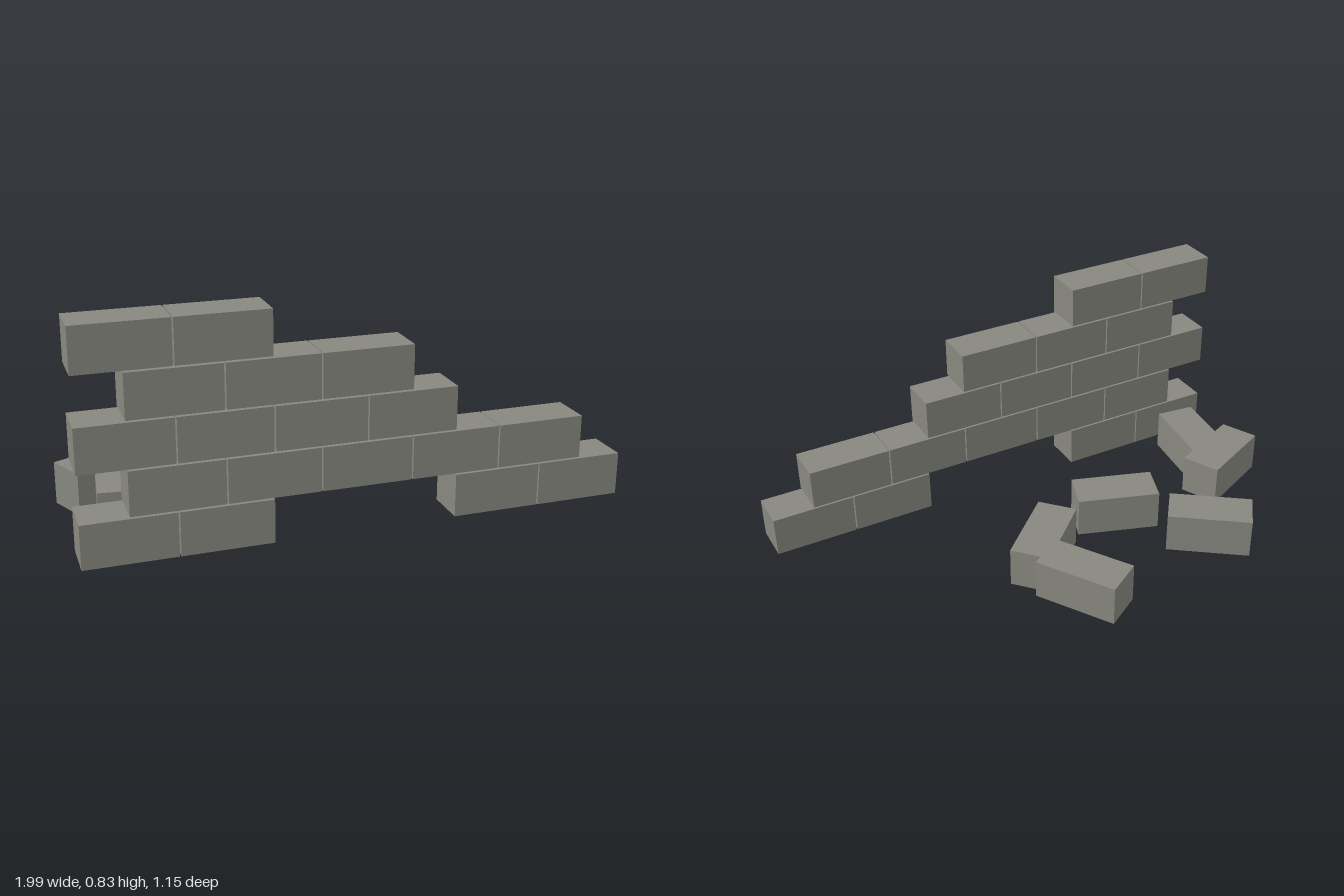
import * as THREE from 'three';

const LENGTH = 0.326, HEIGHT = 0.16, DEPTH = 0.157;
const PITCH_X = 0.3315, PITCH_Y = 0.1663;

export function createModel() {
  const model = new THREE.Group();
  model.name = 'brokenBrickWall';
  const stone = new THREE.MeshStandardMaterial({ color: 0x888880 });
  stone.name = 'grey stone';
  const brick = new THREE.BoxGeometry(LENGTH, HEIGHT, DEPTH);

  function addBrick(parent, name, x, y, z, degrees = 0) {
    const mesh = new THREE.Mesh(brick, stone);
    mesh.name = name;
    mesh.position.set(x, y + HEIGHT / 2, z);
    mesh.rotation.y = THREE.MathUtils.degToRad(degrees);
    parent.add(mesh);
  }

  // Standing wall in running bond: the brick slots still filled in each course
  const wall = new THREE.Group();
  wall.name = 'wall';
  const courses = [[0, 1, 4, 5], [0, 1, 2, 3, 4], [0, 1, 2, 3], [0, 1, 2], [0, 1]];
  courses.forEach((slots, row) => {
    const start = -0.828 + (row % 2) * PITCH_X / 2;
    for (const slot of slots) {
      addBrick(wall, `wallBrick${row + 1}_${slot + 1}`, start + slot * PITCH_X, row * PITCH_Y, 0.493);
    }
  });

  // Fallen bricks on the ground behind the wall: x, z, turn in degrees
  const rubble = new THREE.Group();
  rubble.name = 'fallenBricks';
  [
    [-0.528, -0.335, -36.6],
    [-0.278, -0.03, -19.3],
    [0.078, -0.395, -58.3],
    [0.107, -0.138, 42.5],
    [-0.82, 0.003, 24.6],
    [-0.799, 0.178, 83.4],
  ].forEach(([x, z, turn], i) => addBrick(rubble, `fallenBrick${i + 1}`, x, 0, z, turn));

  model.add(wall, rubble);
  return model;
}
